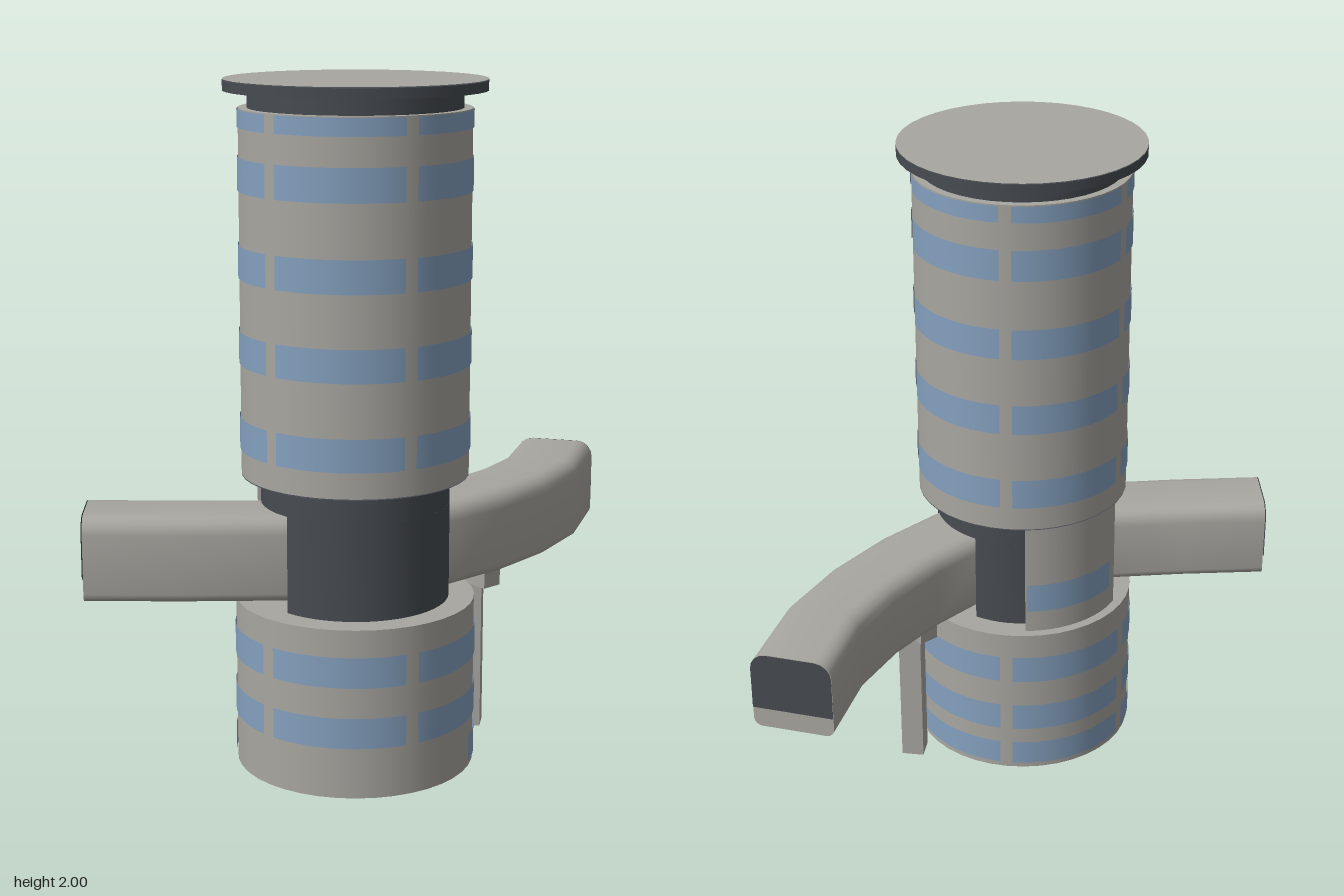
import * as THREE from 'three';
import { toCreasedNormals } from 'three/addons/utils/BufferGeometryUtils.js';

const CX = 0.06, CZ = 0.3; // tower axis
const rad = THREE.MathUtils.degToRad;

function makeMaterial(name, color) {
  const m = new THREE.MeshStandardMaterial({ color, side: THREE.DoubleSide });
  m.name = name;
  return m;
}

function add(parent, name, geometry, material, x = 0, y = 0, z = 0) {
  const mesh = new THREE.Mesh(geometry, material);
  mesh.name = name;
  mesh.position.set(x, y, z);
  parent.add(mesh);
  return mesh;
}

// Upright cylinder between two heights
function drum(parent, name, r, y0, y1, material, open = false) {
  const g = new THREE.CylinderGeometry(r, r, y1 - y0, 40, 1, open);
  return add(parent, name, g, material, 0, (y0 + y1) / 2, 0);
}

// Prism on an arc from a0 to a1 (degrees from +z towards +x), closed by a curve through an inner control point
function arcPrism(r, a0, a1, control, height) {
  const pts = [];
  for (let i = 0; i <= 20; i++) {
    const a = rad(a0 + (a1 - a0) * i / 20);
    pts.push(new THREE.Vector2(r * Math.sin(a), -r * Math.cos(a)));
  }
  const back = new THREE.QuadraticBezierCurve(pts[20], new THREE.Vector2(control[0], -control[1]), pts[0]);
  pts.push(...back.getPoints(8).slice(1, -1));
  const g = new THREE.ExtrudeGeometry(new THREE.Shape(pts), { depth: height, bevelEnabled: false });
  return toCreasedNormals(g.rotateX(-Math.PI / 2), 0.5);
}

// Curved window plate
function windowPlate(parent, r, y, h, a0, a1, material) {
  const g = new THREE.CylinderGeometry(r + 0.003, r + 0.003, h, 12, 1, true, rad(a0), rad(a1 - a0));
  add(parent, 'window', g, material, 0, y, 0);
}

// Five windows around the drum, optionally limited to an angular range
function windowRow(parent, r, y, h, material, from = -36, to = 324) {
  for (let k = 0; k < 5; k++) {
    const a0 = Math.max(-36 + 72 * k + 3.2, from), a1 = Math.min(36 + 72 * k - 3.2, to);
    if (a1 > a0) windowPlate(parent, r, y, h, a0, a1, material);
  }
}

// Box-like bridge section with rounded corners, counter-clockwise
function bridgeSection() {
  const w = 0.124, h = 0.124, pts = [];
  const corners = [[1, -1, 0.025, -90], [1, 1, 0.05, 0], [-1, 1, 0.05, 90], [-1, -1, 0.025, 180]];
  for (const [sx, sy, r, start] of corners) {
    for (let i = 0; i <= 4; i++) {
      const a = rad(start + i * 22.5);
      pts.push(new THREE.Vector2(sx * (w - r) + r * Math.cos(a), sy * (h - r) + r * Math.sin(a)));
    }
  }
  return pts;
}

function buildBridge(concrete, dark) {
  const group = new THREE.Group();
  group.name = 'bridge';
  const plan = [[-0.693, 0.508], [-0.43, 0.46], [-0.14, 0.395], [0.08, 0.3], [0.25, 0.175],
    [0.375, 0.01], [0.48, -0.18], [0.555, -0.39], [0.5875, -0.6575]];
  const path = plan.map(([x, z], i) => new THREE.Vector3(x, 0.66 - 0.033 * i / 8, z));
  const tangents = path.map((p, i) => {
    const a = path[Math.max(i - 1, 0)], b = path[Math.min(i + 1, path.length - 1)];
    const d1 = p.clone().sub(a).setY(0).normalize(), d2 = b.clone().sub(p).setY(0).normalize();
    return d1.add(d2).normalize();
  });
  const section = bridgeSection(), n = section.length;

  // Swept tube
  const pos = [], index = [];
  path.forEach((p, i) => {
    const t = tangents[i];
    for (const q of section) pos.push(p.x + t.z * q.x, p.y + q.y, p.z - t.x * q.x);
    if (i === 0) return;
    for (let j = 0; j < n; j++) {
      const a = (i - 1) * n + j, b = (i - 1) * n + (j + 1) % n;
      index.push(a, b, a + n, b, b + n, a + n);
    }
  });
  const tube = new THREE.BufferGeometry();
  tube.setAttribute('position', new THREE.Float32BufferAttribute(pos, 3));
  tube.setIndex(index);
  add(group, 'bridgeTube', toCreasedNormals(tube, 0.6), concrete);

  // End walls, each with a dark glazed panel above a plain sill
  const sill = -0.06;
  const upper = section.filter(p => p.y > sill);
  const glazed = [new THREE.Vector2(0.124, sill), ...upper, new THREE.Vector2(-0.124, sill)];
  for (const [i, dir] of [[0, -1], [path.length - 1, 1]]) {
    const t = tangents[i].clone().multiplyScalar(dir);
    const end = new THREE.Group();
    end.name = 'bridgeEnd';
    end.position.copy(path[i]);
    end.rotation.y = Math.atan2(t.x, t.z);
    add(end, 'endWall', new THREE.ShapeGeometry(new THREE.Shape(section)), concrete);
    add(end, 'endPanel', new THREE.ShapeGeometry(new THREE.Shape(glazed)), dark, 0, 0, 0.003);
    group.add(end);
  }
  return group;
}

export function createModel() {
  const concrete = makeMaterial('concrete', 0xa8a6a0);
  const dark = makeMaterial('darkCladding', 0x474c52);
  const glass = makeMaterial('blueGlass', 0x84a0be);

  const model = new THREE.Group();
  model.name = 'towerWithBridge';
  const tower = new THREE.Group();
  tower.name = 'tower';
  tower.position.set(CX, 0, CZ);
  model.add(tower);

  // Base drum, open underneath
  drum(tower, 'baseWall', 0.35, 0, 0.5, concrete, true);
  add(tower, 'baseRoof', new THREE.CircleGeometry(0.35, 40).rotateX(-Math.PI / 2), concrete, 0, 0.5, 0);
  windowRow(tower, 0.35, 0.375, 0.09, glass);
  windowRow(tower, 0.35, 0.195, 0.09, glass);
  windowRow(tower, 0.35, 0.058, 0.08, glass, 78.5, 281.5);

  // Neck, split where the bridge passes through
  add(tower, 'frontNeck', arcPrism(0.275, -36, 96, [0.1, 0.14], 0.285), dark, 0, 0.5, 0);
  add(tower, 'backNeck', arcPrism(0.275, 156, 268, [-0.03, -0.06], 0.285), dark, 0, 0.5, 0);
  drum(tower, 'neckCollar', 0.275, 0.785, 0.87, dark);

  // Stair column behind the neck
  add(tower, 'stairColumn', arcPrism(0.32, 190, 254, [-0.16, -0.11], 0.37), concrete, 0, 0.5, 0);
  windowPlate(tower, 0.32, 0.62, 0.095, 191, 247, glass);

  // Upper drum
  drum(tower, 'upperWall', 0.33, 0.872, 1.92, concrete);
  add(tower, 'upperSoffit', new THREE.CircleGeometry(0.33, 40).rotateX(Math.PI / 2), dark, 0, 0.869, 0);
  for (const y of [0.995, 1.245, 1.49, 1.737]) windowRow(tower, 0.33, y, 0.095, glass);
  windowRow(tower, 0.33, 1.892, 0.05, glass);

  // Roof
  drum(tower, 'roofNeck', 0.305, 1.92, 1.97, dark);
  drum(tower, 'roofDisc', 0.373, 1.968, 1.997, dark);
  add(tower, 'roofTop', new THREE.CircleGeometry(0.373, 40).rotateX(-Math.PI / 2), concrete, 0, 2, 0);

  // Bridge and its support
  model.add(buildBridge(concrete, dark));
  add(model, 'supportPillar', new THREE.BoxGeometry(0.07, 0.46, 0.07), concrete, 0.375, 0.23, 0.005);
  const bracket = add(model, 'supportBracket', new THREE.BoxGeometry(0.18, 0.05, 0.066), concrete, 0.375, 0.485, 0.005);
  bracket.rotation.y = rad(-40);

  return model;
}
